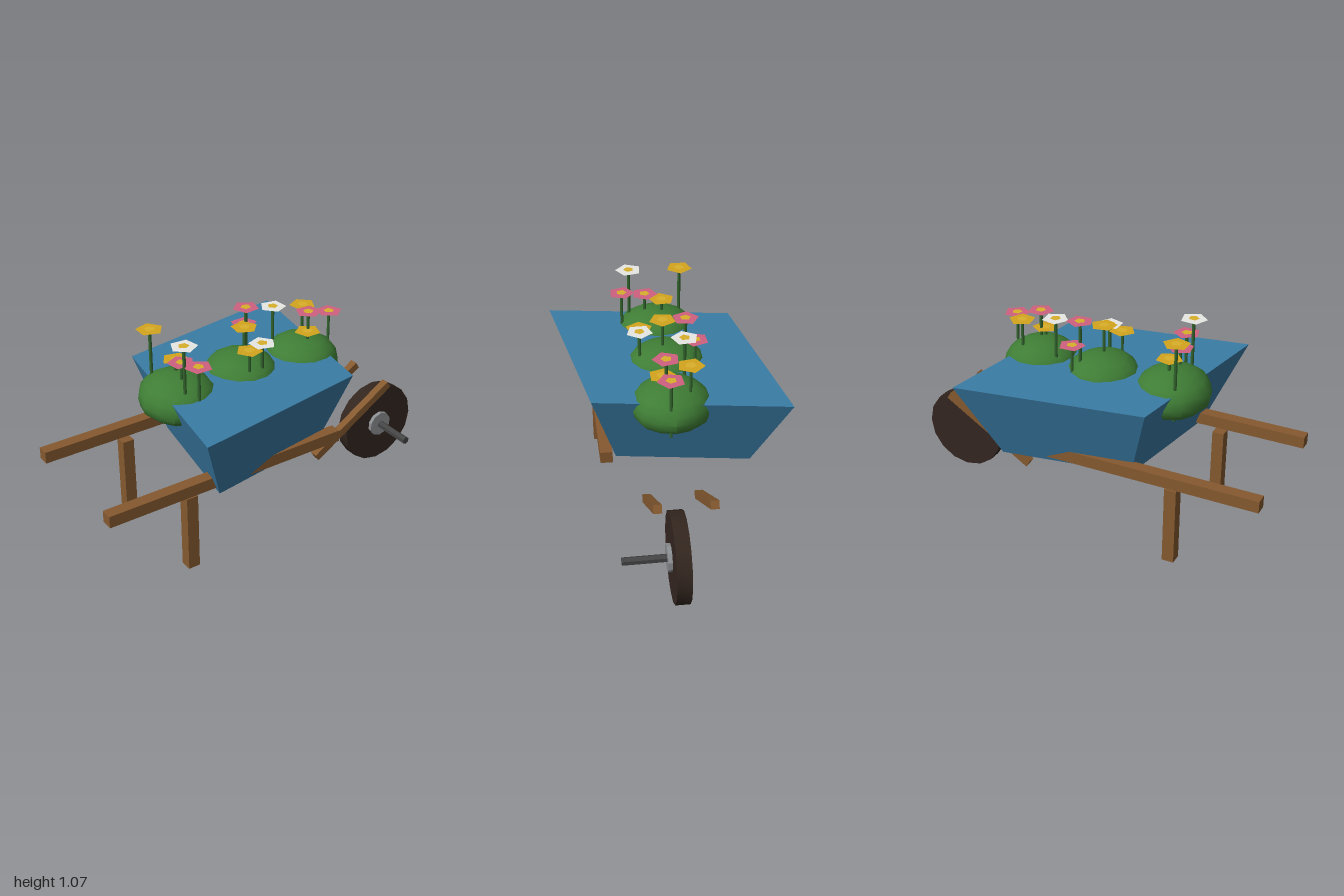
import * as THREE from 'three';
import { mergeVertices, toCreasedNormals } from 'three/addons/utils/BufferGeometryUtils.js';

const mat = (color, extra = {}) => {
  const m = new THREE.MeshStandardMaterial({ color, ...extra });
  return m;
};
const flat = { flatShading: true };
const blue = mat(0x3a7ca5, flat);
const wood = mat(0x85592f, flat);
const tyre = mat(0x33261f);
const metal = mat(0x8c8f92);
const darkMetal = mat(0x444444);
const leaf = mat(0x3f7d35);
const stemGreen = mat(0x33662e);
const petalColors = { y: 0xd4a51c, p: 0xd0607f, w: 0xe8e8e4 };
const petals = {};
for (const k in petalColors) petals[k] = mat(petalColors[k], { side: THREE.DoubleSide });
const pollen = mat(0xd9b02a, { side: THREE.DoubleSide });

function add(parent, name, geometry, material, x = 0, y = 0, z = 0) {
  const mesh = new THREE.Mesh(geometry, material);
  mesh.name = name;
  mesh.position.set(x, y, z);
  parent.add(mesh);
  return mesh;
}

// Cylinder running along z from z0 to z1
function disc(parent, name, r, z0, z1, sides, material, x, y) {
  const g = new THREE.CylinderGeometry(r, r, z1 - z0, sides).rotateX(Math.PI / 2);
  return add(parent, name, toCreasedNormals(g, 0.6), material, x, y, (z0 + z1) / 2);
}

// Squashed leafy mound with a slightly uneven outline and a flat underside
function moundGeometry(rx, ry, rz, floor, seed) {
  let g = new THREE.SphereGeometry(1, 14, 10);
  g.deleteAttribute('uv');
  g.deleteAttribute('normal');
  g = mergeVertices(g, 1e-4);
  const p = g.attributes.position;
  for (let i = 0; i < p.count; i++) {
    const x = p.getX(i), y = p.getY(i), z = p.getZ(i);
    const k = 1 + 0.03 * Math.sin(4 * x + seed) * Math.cos(5 * z + seed * 2);
    p.setXYZ(i, x * rx * k, Math.max(y * ry, floor), z * rz * k);
  }
  return toCreasedNormals(g, 0.7);
}

export function createModel() {
  const root = new THREE.Group();
  root.name = 'flowerWheelbarrow';

  // Tub: four-sided taper, squeezed along one diagonal
  const tub = new THREE.CylinderGeometry(0.76, 0.53, 0.393, 4);
  tub.scale(0.72, 1, 1).rotateY(-Math.PI / 4);
  add(root, 'tub', tub, blue, -0.0625, 0.5965, -0.003);

  // Handles, legs and front braces, mirrored across z
  for (const s of [1, -1]) {
    const side = s > 0 ? 'Front' : 'Back';
    add(root, 'handle' + side, new THREE.BoxGeometry(1.285, 0.06, 0.06), wood, -0.3575, 0.45, s * 0.318);
    add(root, 'leg' + side, new THREE.BoxGeometry(0.06, 0.4, 0.06), wood, -0.56, 0.2, s * 0.3);
    const brace = add(root, 'brace' + side, new THREE.BoxGeometry(0.545, 0.04, 0.04), wood, 0.54, 0.35, s * 0.13);
    brace.rotation.z = 0.56;
  }

  // Wheel with hub and axle
  const wheel = new THREE.Group();
  wheel.name = 'wheelAssembly';
  wheel.position.set(0.783, 0.219, 0);
  root.add(wheel);
  disc(wheel, 'wheel', 0.218, 0, 0.07, 16, tyre, 0, 0);
  disc(wheel, 'hub', 0.067, 0.002, 0.09, 10, metal, 0, 0);
  disc(wheel, 'axle', 0.02, 0.002, 0.298, 6, darkMetal, 0, 0);

  // Leafy mounds
  const mounds = [
    [-0.42, -0.005, 0.187, 0.205],
    [-0.055, -0.015, 0.19, 0.2],
    [0.293, 0.005, 0.192, 0.195],
  ];
  mounds.forEach(([x, z, rx, rz], i) => {
    add(root, 'mound' + (i + 1), moundGeometry(rx, 0.127, rz, -0.067, i * 1.7), leaf, x, 0.738, z);
  });

  // Flowers: x, z, height of the head, colour
  const flowers = [
    [-0.485, -0.135, 1.055, 'y'], [-0.41, -0.035, 0.92, 'y'], [-0.43, 0.05, 0.945, 'p'],
    [-0.46, 0.127, 1.07, 'w'], [-0.41, 0.17, 0.968, 'p'],
    [0.05, -0.142, 0.935, 'p'], [0.03, -0.095, 1.045, 'p'], [-0.047, 0.005, 1.0, 'y'],
    [-0.093, 0.115, 0.935, 'y'], [-0.022, 0.12, 0.955, 'w'],
    [0.175, -0.072, 1.02, 'w'], [0.36, -0.075, 0.98, 'y'], [0.315, 0.033, 0.995, 'p'],
    [0.3, 0.05, 0.9, 'y'], [0.448, 0.027, 0.96, 'p'],
  ];
  const head = new THREE.CircleGeometry(0.067, 5).rotateX(-Math.PI / 2);
  const heart = new THREE.CircleGeometry(0.027, 5).rotateX(-Math.PI / 2);
  const base = 0.657;
  flowers.forEach(([x, z, top, color], i) => {
    const flower = new THREE.Group();
    flower.name = 'flower' + (i + 1);
    flower.position.set(x, 0, z);
    flower.rotation.y = i * 0.7;
    root.add(flower);
    const stem = new THREE.CylinderGeometry(0.008, 0.008, top - base, 6);
    add(flower, 'stem', stem, stemGreen, 0, (top + base) / 2, 0);
    add(flower, 'petals', head, petals[color], 0, top + 0.001, 0);
    add(flower, 'flowerCentre', heart, pollen, 0, top + 0.004, 0);
  });

  return root;
}
